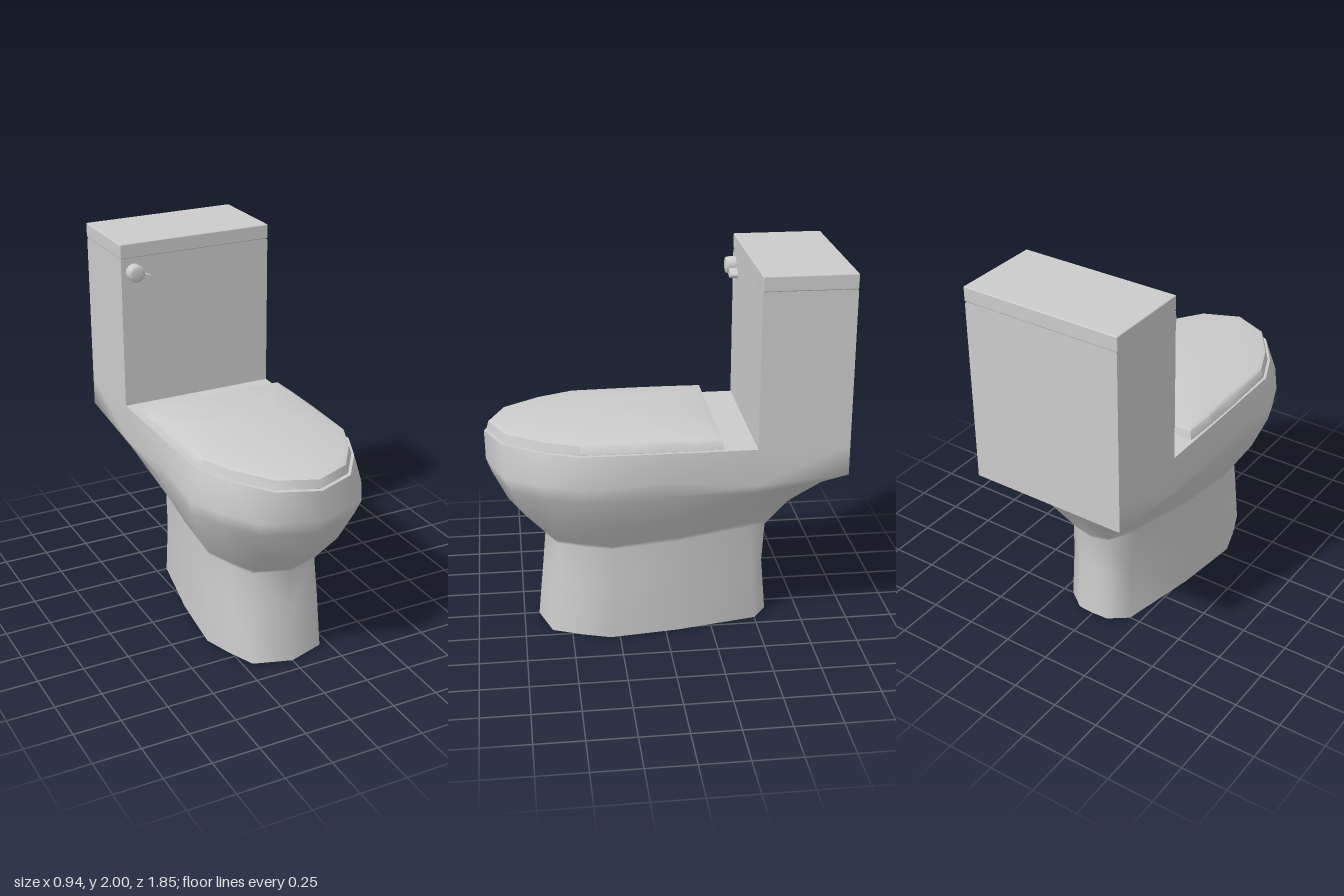
import * as THREE from 'three';
import { toCreasedNormals } from 'three/addons/utils/BufferGeometryUtils.js';
import { RoundedBoxGeometry } from 'three/addons/geometries/RoundedBoxGeometry.js';

// Double sided because the shell is open underneath
const material = new THREE.MeshStandardMaterial({ color: 0xcccccc, side: THREE.DoubleSide });

function part(name, geometry, x = 0, y = 0, z = 0) {
  const mesh = new THREE.Mesh(geometry, material);
  mesh.name = name;
  mesh.position.set(x, y, z);
  return mesh;
}

// Half outline [x, z, optional y] from front centre to back centre, mirrored to a full ring
function ring(y, half) {
  const right = half.map(([x, z, py]) => [x, py ?? y, z]);
  const left = right.slice(1, -1).reverse().map(([x, py, z]) => [-x, py, z]);
  return [...right, ...left];
}

// Skin between rings stacked upwards; skip(row, column) leaves a face open
function skin(rings, skip = () => false) {
  const n = rings[0].length;
  const index = [];
  for (let i = 0; i < rings.length - 1; i++) {
    for (let j = 0; j < n; j++) {
      if (skip(i, j)) continue;
      const a = i * n + j, b = i * n + (j + 1) % n, c = b + n, d = a + n;
      if (j < n / 2) index.push(a, b, c, a, c, d);
      else index.push(a, b, d, b, c, d);
    }
  }
  const geometry = new THREE.BufferGeometry();
  geometry.setAttribute('position', new THREE.Float32BufferAttribute(rings.flat(2), 3));
  geometry.setIndex(index);
  geometry.computeVertexNormals();
  return geometry;
}

// Shrinks a half outline towards its middle
const shrink = (half, sx, sz, cz) => half.map(([x, z]) => [x * sx, cz + (z - cz) * sz]);

export function createModel() {
  const model = new THREE.Group();
  model.name = 'toilet';

  // Pedestal and bowl: one smooth shell, open below and behind the tank wall
  const rim = [[0, 0.923], [0.21, 0.835], [0.345, 0.645], [0.425, 0.46], [0.43, 0], [0.43, -0.45], [0.43, -0.923], [0, -0.923]];
  const shell = [
    ring(0, [[0, 0.67], [0.2, 0.605], [0.265, 0.45], [0.314, 0.3], [0.274, -0.07], [0.19, -0.5], [0.09, -0.575], [0, -0.58]]),
    ring(0.3, [[0, 0.64], [0.19, 0.58], [0.25, 0.43], [0.3, 0.29], [0.27, -0.07], [0.185, -0.48], [0.09, -0.55], [0, -0.555]]),
    ring(0.51, [[0, 0.62], [0.18, 0.56], [0.24, 0.42], [0.287, 0.28], [0.268, -0.07, 0.53], [0.2, -0.46, 0.56], [0.1, -0.56, 0.52], [0, -0.575]]),
    ring(0.535, [[0, 0.645], [0.185, 0.58], [0.252, 0.435], [0.302, 0.29], [0.277, -0.07, 0.555], [0.21, -0.46, 0.585], [0.112, -0.573, 0.545], [0, -0.59]]),
    ring(0.7, [[0, 0.81], [0.21, 0.73], [0.32, 0.56], [0.4, 0.38], [0.36, -0.05], [0.3, -0.44], [0.2, -0.66], [0, -0.69]]),
    ring(0.86, [[0, 0.89], [0.265, 0.795], [0.385, 0.615], [0.457, 0.445], [0.427, 0], [0.405, -0.45, 0.85], [0.33, -0.805], [0, -0.83]]),
    ring(0.94, [[0, 0.92], [0.285, 0.825], [0.4, 0.635], [0.472, 0.46], [0.435, 0], [0.43, -0.45, 0.9], [0.43, -0.923], [0, -0.923]]),
    ring(1.1, rim),
  ];
  model.add(part('bowlAndPedestal', skin(shell, (row, col) => row === 6 && (col === 6 || col === 7))));

  // Flat top of the bowl, ending at the tank front
  const front = rim.slice(0, 6);
  const deckPoints = [...front, ...front.slice(1).reverse().map(([x, z]) => [-x, z])];
  const deck = new THREE.ShapeGeometry(new THREE.Shape(deckPoints.map(([x, z]) => new THREE.Vector2(x, -z))));
  deck.rotateX(-Math.PI / 2);
  model.add(part('bowlDeck', deck, 0, 1.1, 0));

  // Seat and gently domed cover
  const outline = [[0, 0.91], [0.2, 0.825], [0.335, 0.635], [0.415, 0.45], [0.425, 0.1], [0.425, -0.1], [0.42, -0.28], [0, -0.28]];
  const seat = shrink(outline, 0.97, 0.98, 0.3);
  model.add(part('seat', toCreasedNormals(skin([ring(1.1, seat), ring(1.107, seat)]), 0.9)));
  const cover = skin([
    ring(1.107, shrink(outline, 0, 0, 0.3)),
    ring(1.107, outline),
    ring(1.15, shrink(outline, 0.965, 0.98, 0.3)),
    ring(1.158, shrink(outline, 0.92, 0.93, 0.3)),
    ring(1.17, shrink(outline, 0.5, 0.5, 0.26)),
    ring(1.18, shrink(outline, 0.25, 0.25, 0.24)),
    ring(1.18, shrink(outline, 0, 0, 0.24)),
  ]);
  model.add(part('seatCover', toCreasedNormals(cover, 0.85)));

  // Tank walls: [name, width, bottom, x, z, turn]; the back wall reaches down to the bowl's underside
  const top = 1.915;
  for (const [name, width, bottom, x, z, turn] of [
    ['tankFront', 0.86, 1.1, 0, -0.45, 0],
    ['tankLeftSide', 0.473, 1.1, 0.43, -0.6865, Math.PI / 2],
    ['tankRightSide', 0.473, 1.1, -0.43, -0.6865, -Math.PI / 2],
    ['tankBack', 0.86, 0.94, 0, -0.923, Math.PI],
  ]) {
    const wall = part(name, new THREE.PlaneGeometry(width, top - bottom), x, (top + bottom) / 2, z);
    wall.rotation.y = turn;
    model.add(wall);
  }

  // Tank lid above a narrow shadow gap
  model.add(part('tankGap', new THREE.BoxGeometry(0.85, 0.02, 0.463), 0, 1.915, -0.6865));
  model.add(part('tankLid', new RoundedBoxGeometry(0.866, 0.079, 0.474, 2, 0.006), 0, 1.9605, -0.687));

  // Flush handle: round knob with a short lever
  const handle = new THREE.Group();
  handle.name = 'flushHandle';
  handle.position.set(-0.36, 1.846, -0.45);
  const knobProfile = [[0.045, 0], [0.045, 0.046], [0.041, 0.053], [0.03, 0.056], [0, 0.057]]
    .map(([r, h]) => new THREE.Vector2(r, h));
  const knob = toCreasedNormals(new THREE.LatheGeometry(knobProfile, 24), 0.8);
  knob.rotateX(Math.PI / 2);
  handle.add(part('knob', knob));
  const leverShape = new THREE.Shape();
  leverShape.moveTo(0, 0.015);
  leverShape.quadraticCurveTo(0.05, -0.01, 0.085, -0.02);
  leverShape.quadraticCurveTo(0.11, -0.035, 0.085, -0.05);
  leverShape.quadraticCurveTo(0.04, -0.052, 0, -0.035);
  const lever = new THREE.ExtrudeGeometry(leverShape, { depth: 0.042, bevelEnabled: false, curveSegments: 8 });
  handle.add(part('lever', toCreasedNormals(lever, 0.6)));
  model.add(handle);

  return model;
}
